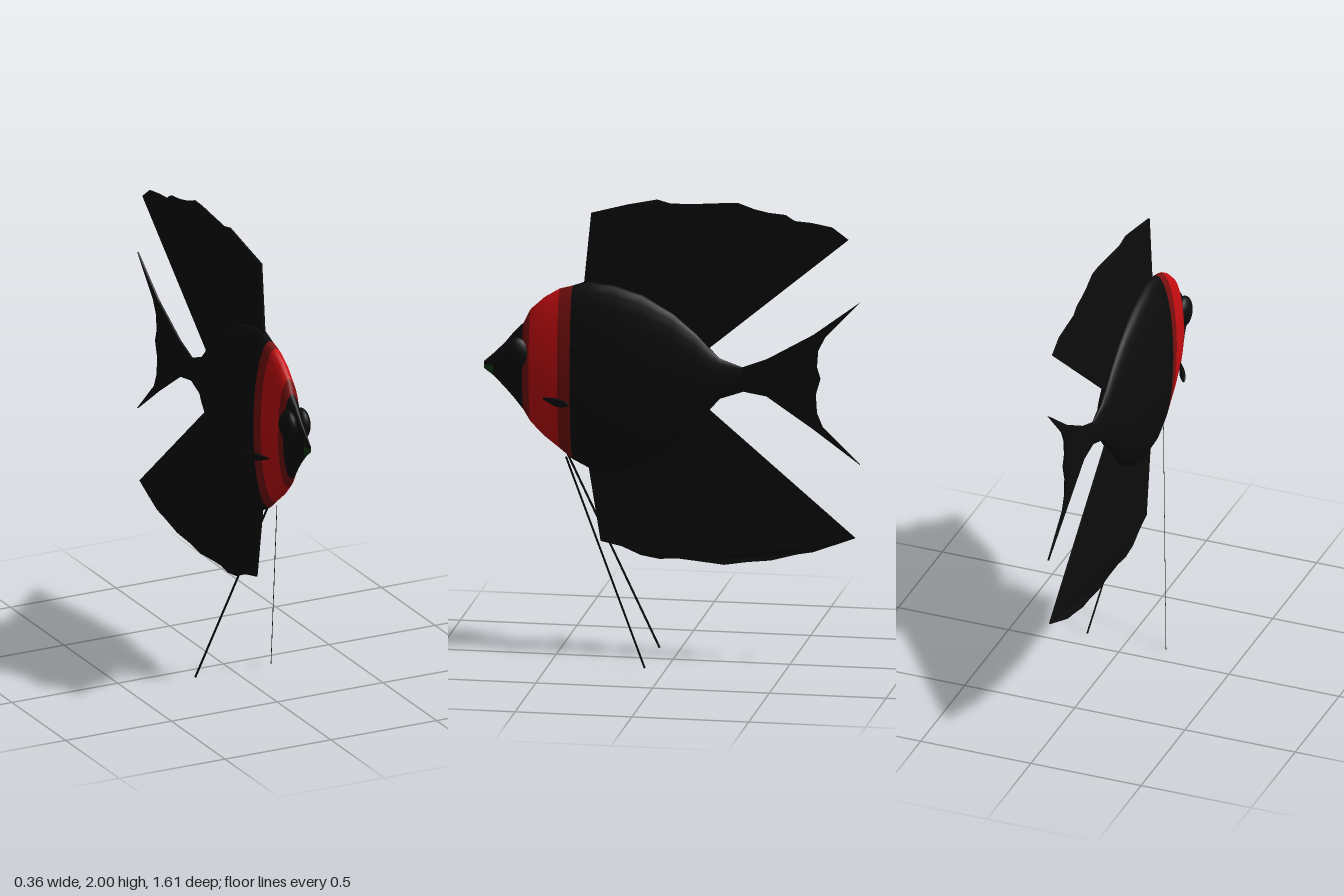
import * as THREE from 'three';

const mat = (name, color) => Object.assign(new THREE.MeshStandardMaterial({ color, side: THREE.DoubleSide }), { name });

export function createModel() {
  const group = new THREE.Group();
  const black = mat('black', 0x0c0c0c);
  const red = mat('bright red', 0xc80d10);
  const darkRed = mat('dark red', 0x7a0f0f);
  const green = mat('mouth green', 0x0c3a12);

  const add = (name, geometry, material, parent = group) => {
    const mesh = new THREE.Mesh(geometry, material);
    mesh.name = name;
    parent.add(mesh);
    return mesh;
  };

  // Body cross-sections from nose to tail: z, top, bottom, half width, material of the band behind
  // (0 black, 1 red, 2 dark red)
  const rings = [
    [0.81, 1.265, 1.235, 0.003, 0], [0.77, 1.30, 1.205, 0.012, 0], [0.72, 1.35, 1.155, 0.022, 0],
    [0.68, 1.40, 1.11, 0.032, 0], [0.64, 1.44, 1.06, 0.044, 2], [0.61, 1.50, 1.01, 0.053, 1],
    [0.55, 1.555, 0.95, 0.063, 1], [0.485, 1.595, 0.90, 0.071, 2], [0.43, 1.61, 0.855, 0.077, 0],
    [0.36, 1.635, 0.82, 0.08, 0], [0.25, 1.622, 0.812, 0.08, 0], [0.13, 1.585, 0.84, 0.076, 0],
    [0, 1.51, 0.92, 0.06, 0], [-0.1, 1.425, 1.03, 0.045, 0], [-0.16, 1.36, 1.10, 0.034, 0],
    [-0.2, 1.32, 1.145, 0.022, 0], [-0.3, 1.285, 1.18, 0.008, 0],
  ];
  const N = 28;
  const pos = [], idx = [];
  const body = new THREE.BufferGeometry();
  for (const [z, top, bottom, w] of rings) {
    for (let j = 0; j < N; j++) {
      const a = (j / N) * Math.PI * 2;
      pos.push(w * Math.sin(a), (top + bottom) / 2 + ((top - bottom) / 2) * Math.cos(a), z);
    }
  }
  for (let i = 0; i < rings.length - 1; i++) {
    for (let j = 0; j < N; j++) {
      const k = (j + 1) % N, a = i * N + j, b = i * N + k, c = a + N, d = b + N;
      const lip = i === 0 && j >= N / 4 && j < (3 * N) / 4;
      body.addGroup(idx.length, 6, lip ? 3 : rings[i][4]);
      idx.push(a, b, c, b, d, c);
    }
  }
  body.setAttribute('position', new THREE.Float32BufferAttribute(pos, 3));
  body.setIndex(idx);
  body.computeVertexNormals();
  add('body', body, [black, red, darkRed, green]);

  // Thin fins in the centre plane, outlined as [z, y], gently waved sideways
  const fin = (name, points, wave) => {
    const shape = new THREE.Shape(points.map(([z, y]) => new THREE.Vector2(z, y)));
    const g = new THREE.ExtrudeGeometry(shape, { depth: 0.008, bevelEnabled: false });
    g.translate(0, 0, -0.004).rotateY(-Math.PI / 2);
    const p = g.attributes.position;
    for (let i = 0; i < p.count; i++) {
      const z = p.getZ(i), reach = Math.min(1, Math.abs(p.getY(i) - 1.23) / 0.7);
      p.setX(i, p.getX(i) + wave * reach * Math.sin(z * 9 + 3.5));
    }
    g.computeVertexNormals();
    add(name, g, black);
  };
  fin('dorsalFin', [
    [0.36, 1.55], [0.38, 1.63], [0.35, 1.93], [0.2, 1.97], [0.07, 1.998], [0.01, 1.983], [-0.1, 1.988],
    [-0.22, 1.998], [-0.28, 2], [-0.35, 1.975], [-0.41, 1.962], [-0.48, 1.955], [-0.52, 1.93],
    [-0.59, 1.925], [-0.68, 1.91], [-0.75, 1.86], [-0.15, 1.36], [0, 1.42],
  ], 0.006);
  fin('analFin', [
    [0.33, 0.92], [0.36, 0.82], [0.31, 0.505], [0.22, 0.485], [0.14, 0.45], [0.06, 0.437], [-0.02, 0.443],
    [-0.1, 0.437], [-0.22, 0.426], [-0.32, 0.442], [-0.42, 0.452], [-0.53, 0.482], [-0.6, 0.495],
    [-0.69, 0.53], [-0.78, 0.565], [-0.15, 1.10], [0, 1.05],
  ], 0.006);
  fin('tailFin', [
    [-0.2, 1.31], [-0.29, 1.283], [-0.4, 1.325], [-0.6, 1.44], [-0.8, 1.59], [-0.65, 1.43], [-0.62, 1.37],
    [-0.615, 1.30], [-0.63, 1.25], [-0.61, 1.18], [-0.615, 1.10], [-0.64, 1.04], [-0.8, 0.885],
    [-0.6, 1.03], [-0.4, 1.165], [-0.29, 1.183], [-0.2, 1.15],
  ], 0.004);

  // Paired parts, mirrored left and right
  for (const s of [1, -1]) {
    const label = s > 0 ? 'left' : 'right';

    const eye = add(label + 'Eye', new THREE.SphereGeometry(1, 24, 16), black);
    eye.scale.set(0.034, 0.07, 0.058);
    eye.position.set(s * 0.03, 1.312, 0.665);

    // Leaf-shaped side fin sweeping back and out
    const leaf = new THREE.SphereGeometry(1, 16, 10);
    const p = leaf.attributes.position;
    for (let i = 0; i < p.count; i++) {
      const z = p.getZ(i), taper = z > 0 ? 1 - 0.55 * z : 1;
      p.setXYZ(i, p.getX(i) * 0.011 * taper, p.getY(i) * 0.019 * taper + 0.008 * Math.max(0, z), z * 0.073);
    }
    leaf.computeVertexNormals();
    const side = add(label + 'SideFin', leaf, black);
    side.position.set(s * 0.094, 1.122, 0.487);
    side.rotation.set(0, -s * 0.5, -s * 0.25);

    // Long trailing ribbon under the belly
    const from = new THREE.Vector3(s * 0.022, 0.87, 0.455), to = new THREE.Vector3(s * 0.179, 0.005, 0.09);
    const ribbon = add(label + 'Feeler', new THREE.BoxGeometry(0.002, 0.009, from.distanceTo(to)), black);
    ribbon.position.copy(from).add(to).multiplyScalar(0.5);
    ribbon.lookAt(to);
  }
  return group;
}
